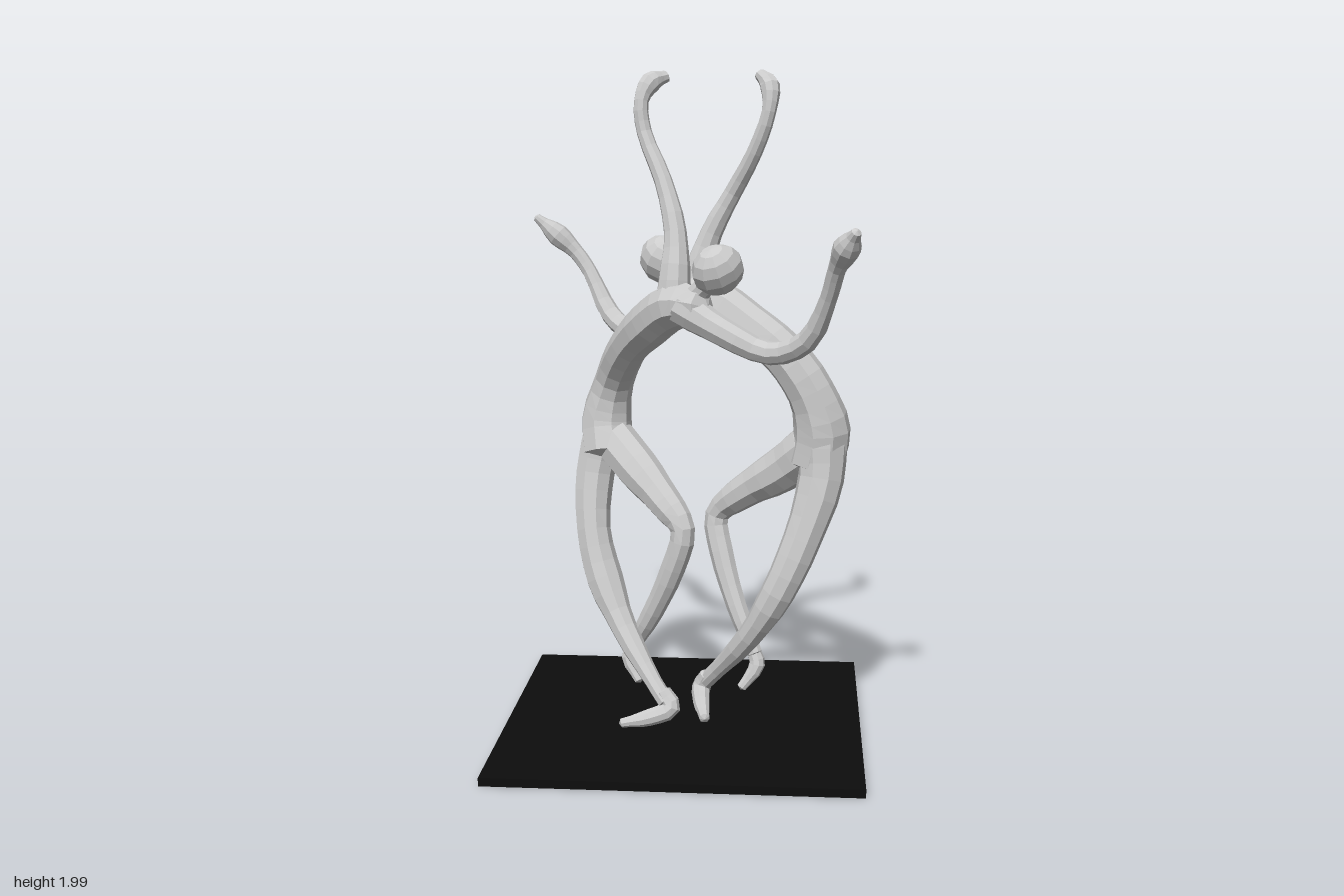
import * as THREE from 'three';

const SIDES = 9;
const bodyMaterial = new THREE.MeshStandardMaterial({ color: 0xcccccc, flatShading: true });
const baseMaterial = new THREE.MeshStandardMaterial({ color: 0x0d0d0d });

// Tapered tube through points [x, y, z, radius], closed by a blunt tip at both ends.
function limb(name, pts, stepsPerSpan = 3) {
  const curve = new THREE.CatmullRomCurve3(pts.map(p => new THREE.Vector3(p[0], p[1], p[2])));
  const spans = pts.length - 1, steps = spans * stepsPerSpan;
  const pos = [], idx = [];
  const N = new THREE.Vector3(0.31, 0.17, 0.93), B = new THREE.Vector3();
  const tips = [];
  for (let i = 0; i <= steps; i++) {
    const t = i / steps, k = Math.min(spans - 1, Math.floor(t * spans)), f = t * spans - k;
    const r = THREE.MathUtils.lerp(pts[k][3], pts[k + 1][3], THREE.MathUtils.smoothstep(f, 0, 1));
    const P = curve.getPoint(t), T = curve.getTangent(t);
    N.addScaledVector(T, -N.dot(T)).normalize();
    B.crossVectors(T, N);
    for (let j = 0; j < SIDES; j++) {
      const a = j / SIDES * Math.PI * 2;
      const q = P.clone().addScaledVector(N, r * Math.cos(a)).addScaledVector(B, r * Math.sin(a));
      pos.push(q.x, q.y, q.z);
    }
    if (i === 0) tips.push(P.clone().addScaledVector(T, -r * 0.5));
    if (i === steps) tips.push(P.clone().addScaledVector(T, r * 0.5));
  }
  tips.forEach(p => pos.push(p.x, p.y, p.z));
  const start = (steps + 1) * SIDES, end = start + 1;
  for (let j = 0; j < SIDES; j++) {
    const n = (j + 1) % SIDES;
    for (let i = 0; i < steps; i++) {
      const a = i * SIDES + j, b = i * SIDES + n;
      idx.push(a, b, a + SIDES, b, b + SIDES, a + SIDES);
    }
    idx.push(start, n, j, end, steps * SIDES + j, steps * SIDES + n);
  }
  const geo = new THREE.BufferGeometry();
  geo.setAttribute('position', new THREE.Float32BufferAttribute(pos, 3));
  geo.setIndex(idx);
  geo.computeVertexNormals();
  const mesh = new THREE.Mesh(geo, bodyMaterial);
  mesh.name = name;
  return mesh;
}

function dancer(name, parts, headAt, turn) {
  const g = new THREE.Group();
  g.name = name;
  for (const [part, pts] of Object.entries(parts)) g.add(limb(part, pts));
  const head = new THREE.Mesh(new THREE.SphereGeometry(0.074, 10, 7), bodyMaterial);
  head.name = 'head';
  head.position.set(...headAt);
  head.rotation.set(0.4, turn, 0.3);
  head.scale.set(1.06, 1, 0.94);
  g.add(head);
  return g;
}

const frontDancer = {
  torso: [[0.06, 1.31, 0.16, 0.05], [-0.02, 1.31, 0.10, 0.07], [-0.10, 1.25, 0.02, 0.07],
    [-0.175, 1.17, -0.07, 0.062], [-0.235, 1.05, -0.175, 0.062], [-0.265, 0.92, -0.205, 0.08],
    [-0.255, 0.82, -0.17, 0.08]],
  neck: [[0.03, 1.33, 0.13, 0.035], [0.085, 1.39, 0.165, 0.03]],
  raisedArm: [[-0.03, 1.29, 0.09, 0.06], [-0.025, 1.38, 0.085, 0.048], [-0.025, 1.52, 0.05, 0.034],
    [-0.065, 1.67, 0.0, 0.027], [-0.125, 1.81, -0.05, 0.023], [-0.135, 1.9, -0.06, 0.022],
    [-0.11, 1.955, -0.085, 0.032], [-0.065, 1.975, -0.115, 0.018]],
  outstretchedArm: [[0.0, 1.31, 0.13, 0.055], [0.12, 1.245, 0.19, 0.042], [0.26, 1.19, 0.24, 0.034],
    [0.365, 1.235, 0.305, 0.032], [0.42, 1.36, 0.37, 0.024], [0.44, 1.44, 0.41, 0.025],
    [0.465, 1.5, 0.455, 0.039], [0.488, 1.545, 0.5, 0.014]],
  standingLeg: [[-0.27, 0.88, -0.2, 0.07], [-0.3, 0.75, -0.18, 0.062], [-0.3, 0.58, -0.13, 0.054],
    [-0.26, 0.43, -0.09, 0.058], [-0.19, 0.29, -0.02, 0.04], [-0.09, 0.15, 0.07, 0.026],
    [-0.05, 0.1, 0.1, 0.026]],
  standingFoot: [[-0.06, 0.13, 0.09, 0.024], [-0.035, 0.085, 0.105, 0.03], [-0.10, 0.055, 0.115, 0.026],
    [-0.185, 0.038, 0.125, 0.014]],
  bentLeg: [[-0.24, 0.86, -0.18, 0.07], [-0.16, 0.785, -0.11, 0.068], [-0.06, 0.69, -0.02, 0.052],
    [-0.005, 0.62, 0.025, 0.038], [-0.035, 0.5, 0.015, 0.038], [-0.1, 0.35, -0.02, 0.033],
    [-0.17, 0.22, -0.065, 0.024]],
  bentFoot: [[-0.165, 0.23, -0.065, 0.022], [-0.18, 0.185, -0.06, 0.025], [-0.145, 0.12, -0.03, 0.015]],
};

const backDancer = {
  torso: [[-0.07, 1.3, -0.16, 0.05], [0.0, 1.32, -0.12, 0.07], [0.09, 1.3, -0.08, 0.073],
    [0.19, 1.24, -0.03, 0.068], [0.295, 1.16, 0.015, 0.068], [0.375, 1.05, 0.03, 0.072],
    [0.412, 0.93, 0.02, 0.087], [0.395, 0.83, 0.01, 0.085]],
  neck: [[-0.02, 1.33, -0.14, 0.035], [-0.075, 1.39, -0.18, 0.03]],
  raisedArm: [[0.02, 1.29, -0.11, 0.06], [0.03, 1.38, -0.125, 0.048], [0.07, 1.51, -0.13, 0.034],
    [0.135, 1.63, -0.12, 0.027], [0.2, 1.75, -0.08, 0.024], [0.243, 1.87, -0.06, 0.022],
    [0.245, 1.945, -0.08, 0.03], [0.215, 1.98, -0.115, 0.018]],
  outstretchedArm: [[0.0, 1.31, -0.13, 0.055], [-0.09, 1.25, -0.2, 0.042], [-0.19, 1.19, -0.29, 0.034],
    [-0.27, 1.235, -0.37, 0.032], [-0.345, 1.37, -0.425, 0.024], [-0.39, 1.43, -0.44, 0.025],
    [-0.45, 1.485, -0.445, 0.037], [-0.52, 1.543, -0.442, 0.013]],
  standingLeg: [[0.41, 0.92, 0.02, 0.08], [0.41, 0.79, 0.045, 0.07], [0.355, 0.61, 0.085, 0.058],
    [0.285, 0.45, 0.1, 0.052], [0.2, 0.3, 0.06, 0.038], [0.1, 0.16, -0.04, 0.027],
    [0.055, 0.1, -0.085, 0.026]],
  standingFoot: [[0.065, 0.13, -0.07, 0.024], [0.045, 0.085, -0.085, 0.03], [0.05, 0.058, -0.02, 0.026],
    [0.065, 0.038, 0.065, 0.016]],
  bentLeg: [[0.38, 0.87, -0.01, 0.08], [0.285, 0.79, -0.06, 0.07], [0.17, 0.71, -0.11, 0.053],
    [0.09, 0.63, -0.145, 0.038], [0.105, 0.52, -0.12, 0.038], [0.155, 0.36, -0.07, 0.032],
    [0.215, 0.22, -0.025, 0.024]],
  bentFoot: [[0.21, 0.23, -0.03, 0.022], [0.222, 0.185, -0.02, 0.025], [0.175, 0.115, -0.005, 0.015]],
};

export function createModel() {
  const model = new THREE.Group();
  model.name = 'dancingPair';

  // Square plinth
  const base = new THREE.Mesh(new THREE.BoxGeometry(1.08, 0.025, 1.08), baseMaterial);
  base.name = 'base';
  base.position.y = 0.0125;
  model.add(base);

  model.add(dancer('frontDancer', frontDancer, [0.107, 1.42, 0.175], 0.5));
  model.add(dancer('backDancer', backDancer, [-0.085, 1.425, -0.195], 2.1));
  return model;
}
